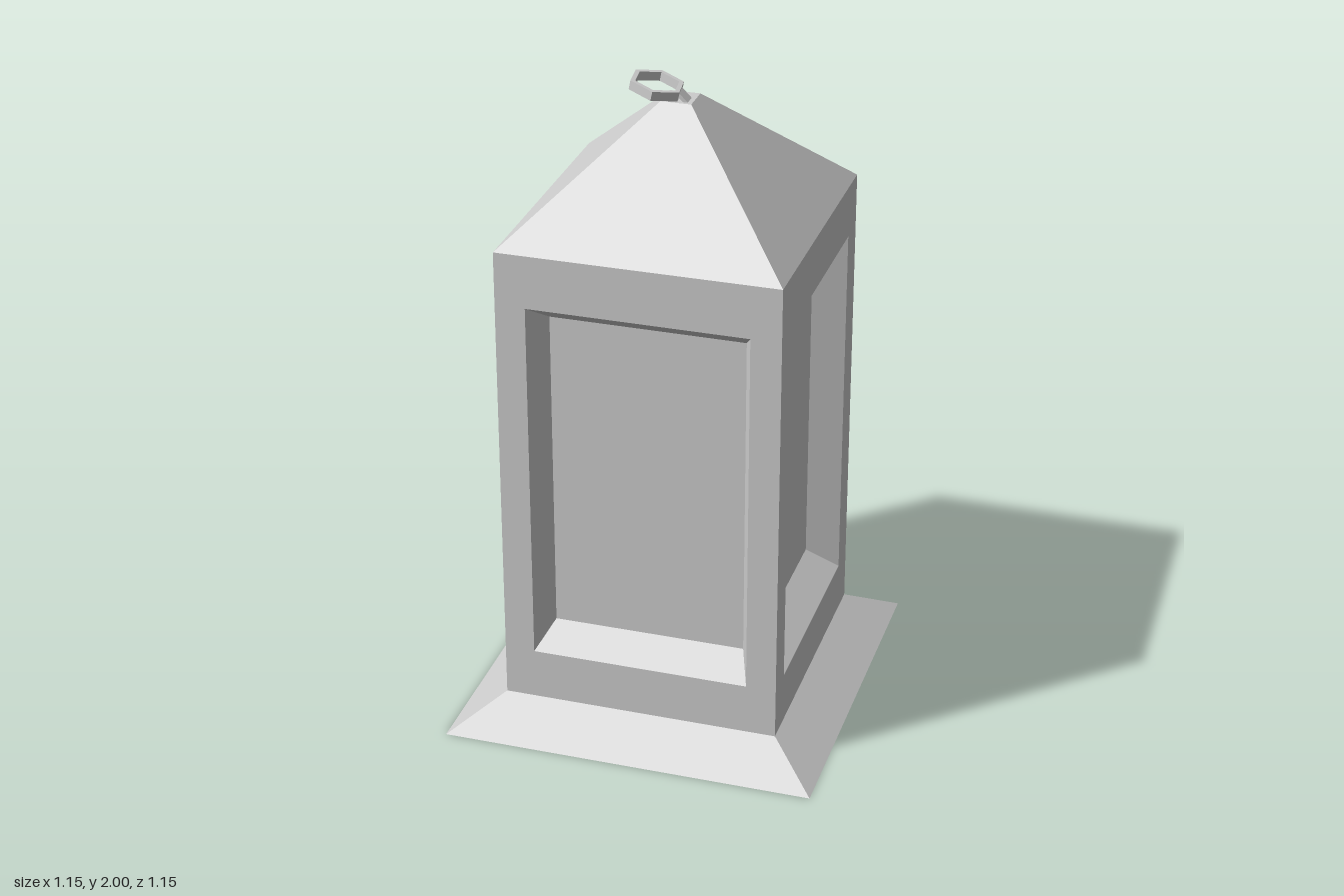
import * as THREE from 'three';

const material = new THREE.MeshStandardMaterial({ color: 0xcccccc, flatShading: true });

function add(parent, name, geometry) {
  const mesh = new THREE.Mesh(geometry, material);
  mesh.name = name;
  parent.add(mesh);
  return mesh;
}

// Square frustum given by its half widths and heights
function frustum(bottomHalf, topHalf, y0, y1) {
  const g = new THREE.CylinderGeometry(topHalf * Math.SQRT2, bottomHalf * Math.SQRT2, y1 - y0, 4);
  return g.rotateY(Math.PI / 4).translate(0, (y0 + y1) / 2, 0);
}

// One wall: frame, bevelled reveal and recessed pane, from nested rectangles
function wallGeometry() {
  const rects = [
    [0.427, 0.095, 1.575, 0.427],
    [0.335, 0.255, 1.41, 0.427],
    [0.297, 0.32, 1.345, 0.327],
  ];
  const positions = [];
  for (const [w, y0, y1, z] of rects) {
    positions.push(-w, y0, z, w, y0, z, w, y1, z, -w, y1, z);
  }
  const index = [];
  for (let r = 0; r < rects.length - 1; r++) {
    for (let i = 0; i < 4; i++) {
      const j = (i + 1) % 4;
      const a = r * 4 + i, b = r * 4 + j, c = a + 4, d = b + 4;
      index.push(a, b, d, a, d, c);
    }
  }
  index.push(8, 9, 10, 8, 10, 11);
  const indexed = new THREE.BufferGeometry();
  indexed.setAttribute('position', new THREE.Float32BufferAttribute(positions, 3));
  indexed.setIndex(index);
  const g = indexed.toNonIndexed();
  g.computeVertexNormals();
  return g;
}

export function createModel() {
  const lantern = new THREE.Group();
  lantern.name = 'lantern';

  add(lantern, 'base', frustum(0.575, 0.427, 0, 0.095));

  // Four identical panelled walls
  const body = new THREE.Group();
  body.name = 'body';
  lantern.add(body);
  const wall = wallGeometry();
  ['frontWall', 'leftWall', 'backWall', 'rightWall'].forEach((name, i) => {
    add(body, name, wall).rotation.y = i * Math.PI / 2;
  });

  add(lantern, 'roof', frustum(0.427, 0.046, 1.575, 1.935));

  // Small folded staple that holds the ring
  const fold = new THREE.Shape([
    [-0.033, 1.934], [-0.02, 1.934], [0, 1.95], [0.02, 1.934], [0.033, 1.934], [0, 1.968],
  ].map(([x, y]) => new THREE.Vector2(x, y)));
  const staple = new THREE.ExtrudeGeometry(fold, { depth: 0.04, bevelEnabled: false });
  add(lantern, 'staple', staple.translate(0, 0, -0.005));

  // Six-sided carrying ring, tipped over to one side
  const section = [
    [0.068, -0.014], [0.083, -0.014], [0.083, 0.014], [0.068, 0.014], [0.068, -0.014],
  ].map(([x, y]) => new THREE.Vector2(x, y));
  const ring = add(lantern, 'ring', new THREE.LatheGeometry(section, 6, Math.PI + 0.13));
  ring.position.set(-0.067, 1.97, 0.017);
  ring.rotation.z = -0.2;

  return lantern;
}
